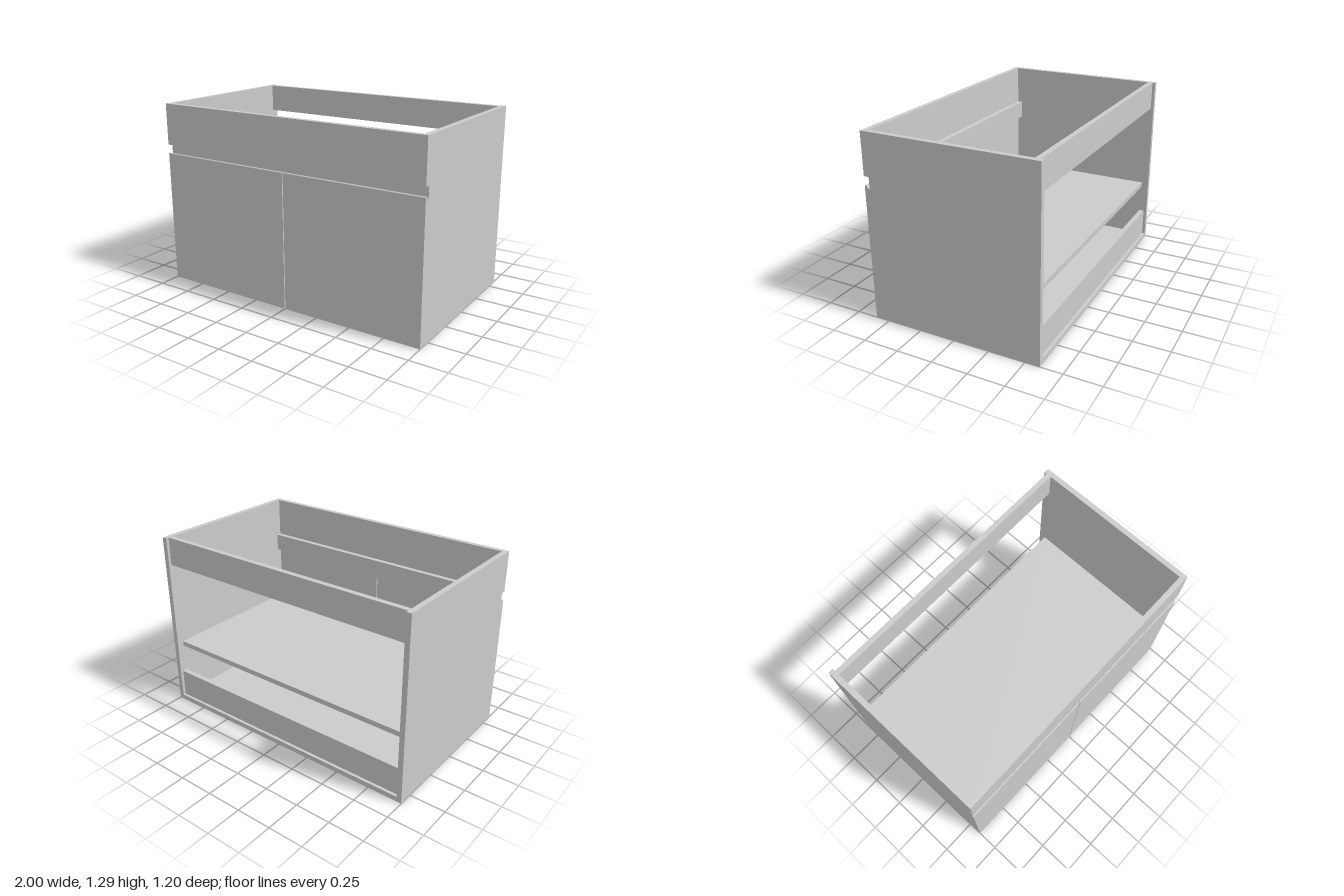
import * as THREE from 'three';

export function createModel() {
  const group = new THREE.Group();
  group.name = 'vanityCabinet';
  const material = new THREE.MeshStandardMaterial({ color: 0xcccccc });
  const T = 0.036;            // board thickness
  const H = 1.29;             // overall height
  const inner = 1 - T;        // inner half width
  const back = -0.6, front = 0.6, carcassFront = front - T;

  function add(name, geometry) {
    const mesh = new THREE.Mesh(geometry, material);
    mesh.name = name;
    group.add(mesh);
    return mesh;
  }

  // Board given by its limits on each axis
  function board(name, x0, x1, y0, y1, z0, z1) {
    add(name, new THREE.BoxGeometry(x1 - x0, y1 - y0, z1 - z0))
      .position.set((x0 + x1) / 2, (y0 + y1) / 2, (z0 + z1) / 2);
  }

  // Carcass
  board('leftSide', inner, 1, 0, H, back, carcassFront);
  board('rightSide', -1, -inner, 0, H, back, carcassFront);
  board('bottomPanel', -inner, inner, 0, T, back, carcassFront);
  board('shelf', -inner, inner, 0.44, 0.44 + T, -0.55, 0.51);

  // Rails between the sides
  board('upperBackRail', -inner, inner, H - 0.2, H, -0.58, -0.58 + T);
  board('lowerBackRail', -inner, inner, T, T + 0.2, -0.58, -0.58 + T);
  board('frontRail', -inner, inner, 0.885, 1.01, carcassFront - T, carcassFront);

  // Fixed panel above the finger gap
  board('frontFascia', -1, 1, 1.0, H, carcassFront, front);

  // Doors: (z, y) profile with a finger bevel behind the top edge
  const profile = new THREE.Shape([
    [carcassFront, 0], [front, 0], [front, 0.936], [0.597, 0.94], [0.588, 0.94], [carcassFront, 0.915],
  ].map(([z, y]) => new THREE.Vector2(z, y)));
  const gap = 0.003, width = 1 - gap;
  for (const side of [1, -1]) {
    const door = new THREE.ExtrudeGeometry(profile, { depth: width, bevelEnabled: false });
    door.translate(0, 0, -width / 2);
    door.rotateY(-Math.PI / 2);
    add(side > 0 ? 'leftDoor' : 'rightDoor', door).position.x = side * (gap + width / 2);
  }

  return group;
}
